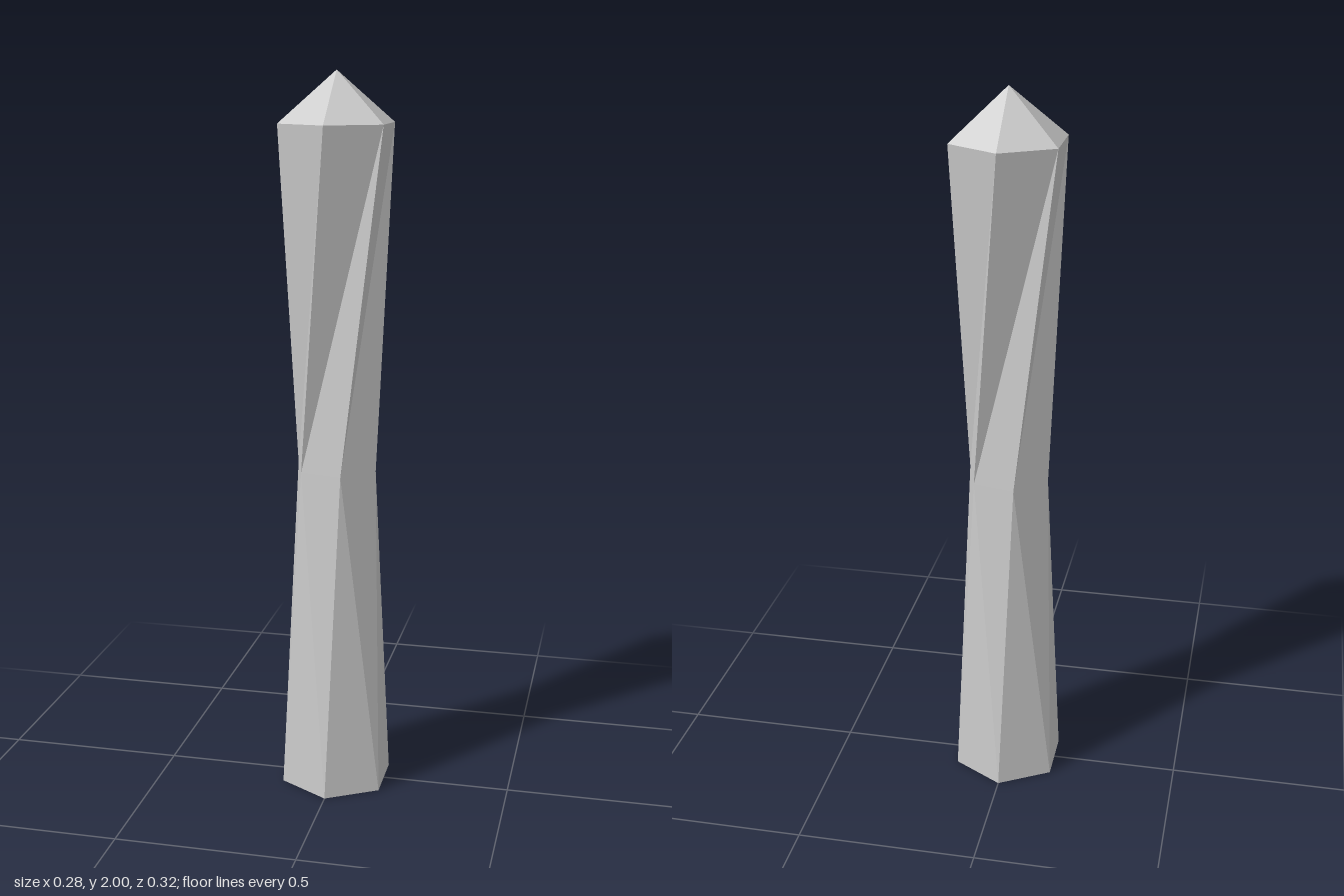
import * as THREE from 'three';

const SIDES = 6;
const RADIUS = 0.162;
const SHAFT_HEIGHT = 1.865;
const TOTAL_HEIGHT = 2;
const WAIST_SCALE = 0.73;
const WAIST_TWIST = -0.75; // radians

function flatMesh(name, geometry) {
  const faceted = geometry.toNonIndexed();
  faceted.computeVertexNormals();
  const material = new THREE.MeshStandardMaterial({ color: 0xcccccc, flatShading: true });
  const mesh = new THREE.Mesh(faceted, material);
  mesh.name = name;
  return mesh;
}

export function createModel() {
  const group = new THREE.Group();
  group.name = 'crystalPillar';

  // Hexagonal shaft whose middle ring is pinched and twisted
  const shaftGeometry = new THREE.CylinderGeometry(RADIUS, RADIUS, SHAFT_HEIGHT, SIDES, 2);
  const position = shaftGeometry.attributes.position;
  const vertex = new THREE.Vector3();
  const up = new THREE.Vector3(0, 1, 0);
  for (let i = 0; i < position.count; i++) {
    vertex.fromBufferAttribute(position, i);
    if (Math.abs(vertex.y) > 0.001) continue;
    vertex.multiplyScalar(WAIST_SCALE).applyAxisAngle(up, WAIST_TWIST);
    position.setXYZ(i, vertex.x, vertex.y, vertex.z);
  }
  const shaft = flatMesh('shaft', shaftGeometry);
  shaft.position.y = SHAFT_HEIGHT / 2;
  group.add(shaft);

  // Pyramid point on top, sharing the shaft's rim
  const tipHeight = TOTAL_HEIGHT - SHAFT_HEIGHT;
  const tip = flatMesh('tip', new THREE.ConeGeometry(RADIUS, tipHeight, SIDES, 1, true));
  tip.position.y = SHAFT_HEIGHT + tipHeight / 2;
  group.add(tip);

  return group;
}
